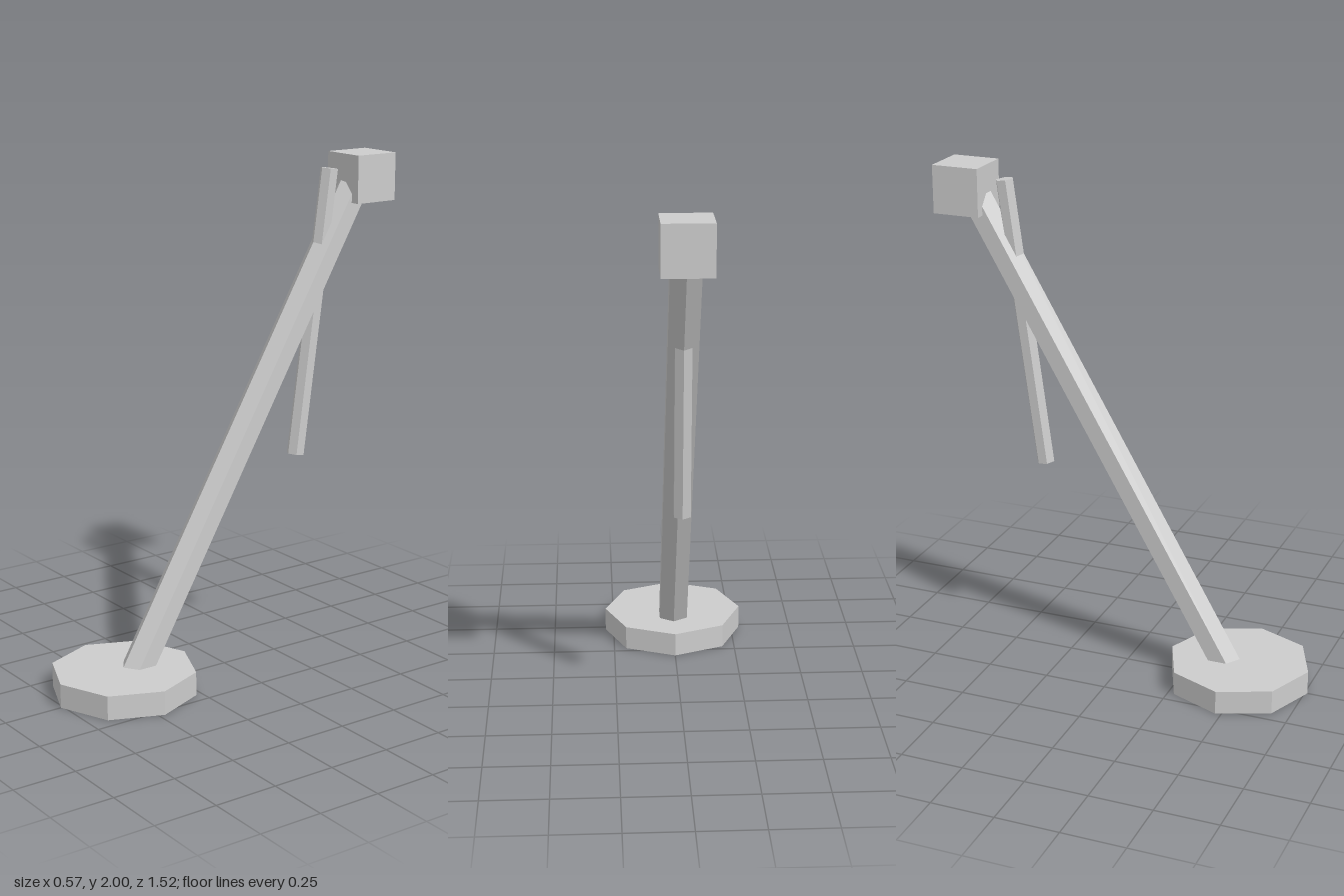
import * as THREE from 'three';

// Removes the downward face group, leaving the underside open
function openBottom(geometry, groupIndex) {
  const index = Array.from(geometry.index.array);
  const { start, count } = geometry.groups[groupIndex];
  index.splice(start, count);
  geometry.setIndex(index);
  geometry.clearGroups();
  return geometry;
}

export function createModel() {
  const model = new THREE.Group();
  const grey = new THREE.MeshStandardMaterial({
    color: 0xcccccc, flatShading: true, side: THREE.DoubleSide,
  });
  grey.name = 'light grey';

  function add(name, geometry) {
    const mesh = new THREE.Mesh(geometry, grey);
    mesh.name = name;
    model.add(mesh);
    return mesh;
  }

  // Hexagonal rod leaning between two points in the x = 0 plane
  function addRod(name, radius, bottom, top) {
    const dy = top.y - bottom.y;
    const dz = top.z - bottom.z;
    const geometry = new THREE.CylinderGeometry(radius, radius, Math.hypot(dy, dz), 6);
    const rod = add(name, openBottom(geometry, 2));
    rod.position.set(0, (top.y + bottom.y) / 2, (top.z + bottom.z) / 2);
    rod.rotation.x = Math.atan2(dz, dy);
  }

  // Octagonal foot, hollow underneath
  const foot = add('foot', openBottom(new THREE.CylinderGeometry(0.284, 0.284, 0.095, 8), 2));
  foot.position.set(0, 0.0475, 0.477);

  // Long leaning pole and the thin rod crossing it
  addRod('pole', 0.0655, { y: 0.045, z: 0.432 }, { y: 1.863, z: -0.62 });
  addRod('crossRod', 0.036, { y: 0.817, z: -0.35 }, { y: 1.948, z: -0.504 });

  // Cube at the top, open underneath
  const head = add('headBlock', openBottom(new THREE.BoxGeometry(0.188, 0.188, 0.188), 3));
  head.position.set(0, 1.906, -0.667);

  return model;
}
